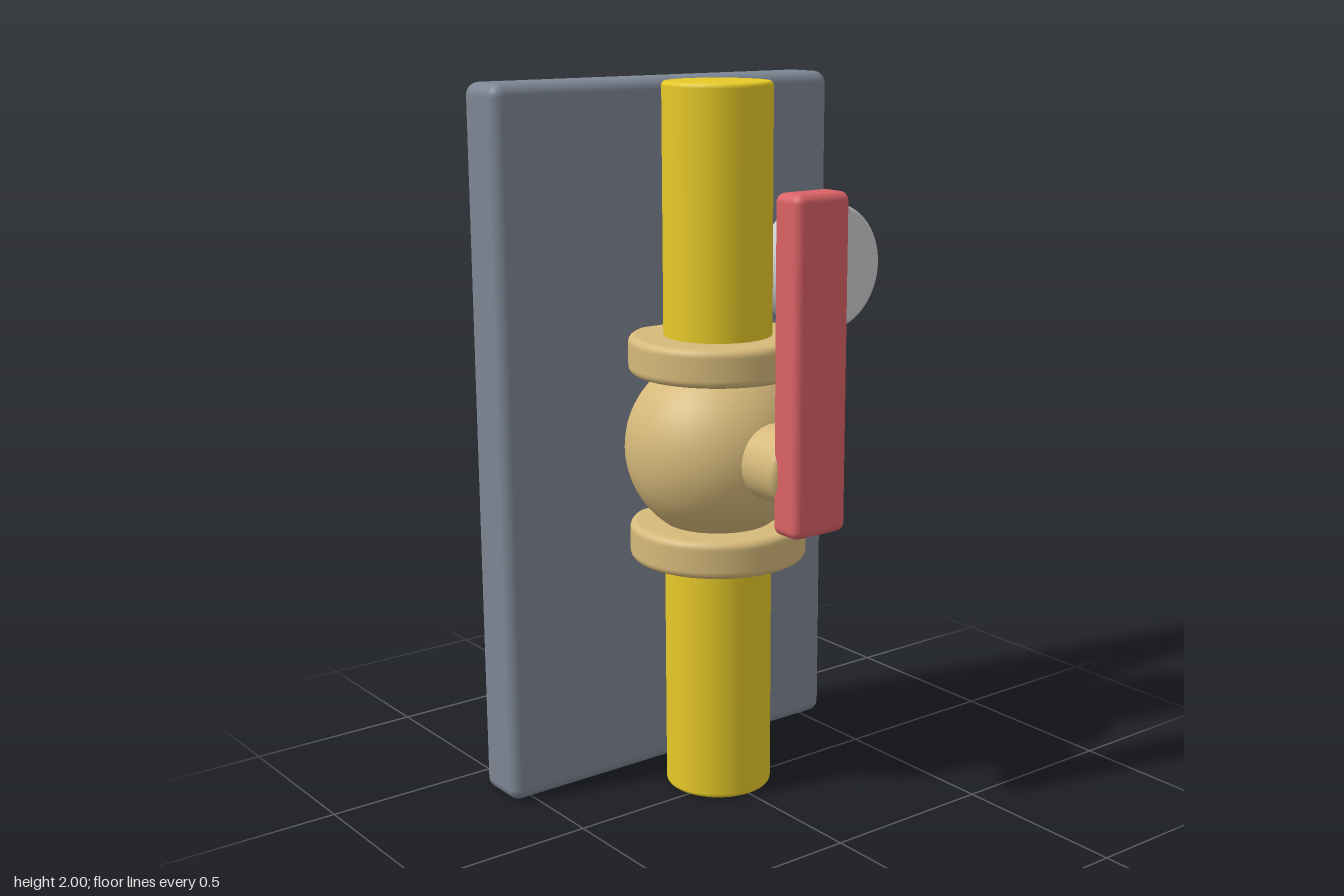
import * as THREE from 'three';
import { RoundedBoxGeometry } from 'three/addons/geometries/RoundedBoxGeometry.js';

const material = (color) => new THREE.MeshStandardMaterial({ color });

// Solid cylinder along y with softly rounded rims
function roundedCylinder(radius, height, bevel, segments = 64) {
  const h = height / 2;
  const steps = 6;
  const half = [new THREE.Vector2(0, h), new THREE.Vector2(radius - bevel * 1.1, h)];
  for (let i = 0; i <= steps; i++) {
    const a = (Math.PI / 2) * (1 - i / steps);
    half.push(new THREE.Vector2(radius - bevel + bevel * Math.cos(a), h - bevel + bevel * Math.sin(a)));
  }
  half.push(new THREE.Vector2(radius, h - bevel * 1.1));
  const lower = half.map((p) => new THREE.Vector2(p.x, -p.y));
  return new THREE.LatheGeometry([...lower, ...half.reverse()], segments);
}

export function createModel() {
  const model = new THREE.Group();
  const slate = material(0x7d8694);
  const yellow = material(0xe6c928);
  const brass = material(0xd6b97a);
  const red = material(0xda6266);
  const grey = material(0xcccccc);
  const pipeZ = -0.04;

  const add = (name, geometry, mat, x, y, z, parent = model) => {
    const mesh = new THREE.Mesh(geometry, mat);
    mesh.name = name;
    mesh.position.set(x, y, z);
    parent.add(mesh);
    return mesh;
  };

  // Wall plate behind the pipe
  add('backPlate', new RoundedBoxGeometry(1.14, 2, 0.162, 5, 0.035), slate, 0, 1, -0.324);

  // Vertical pipe
  add('pipe', roundedCylinder(0.15, 2, 0.012), yellow, 0, 1, pipeZ);

  // Valve: round body, two flanges and a stem towards the front
  const valve = new THREE.Group();
  valve.name = 'valve';
  model.add(valve);
  add('valveBody', new THREE.SphereGeometry(0.26, 64, 40), brass, 0, 1, pipeZ, valve);
  for (const [name, side] of [['upperFlange', 1], ['lowerFlange', -1]]) {
    add(name, roundedCylinder(0.247, 0.105, 0.02), brass, 0, 1 + side * 0.264, pipeZ, valve);
  }
  const stem = add('valveStem', roundedCylinder(0.104, 0.25, 0.022), brass, 0, 1.003, 0.208, valve);
  stem.rotation.x = Math.PI / 2;

  // Lever handle
  add('handle', new RoundedBoxGeometry(0.178, 0.9, 0.102, 5, 0.024), red, 0, 1.29, 0.354);

  // Round gauge beside the pipe
  const gauge = add('gauge', roundedCylinder(0.18, 0.11, 0.015), grey, 0.322, 1.48, 0.01);
  gauge.rotation.x = Math.PI / 2;

  return model;
}
